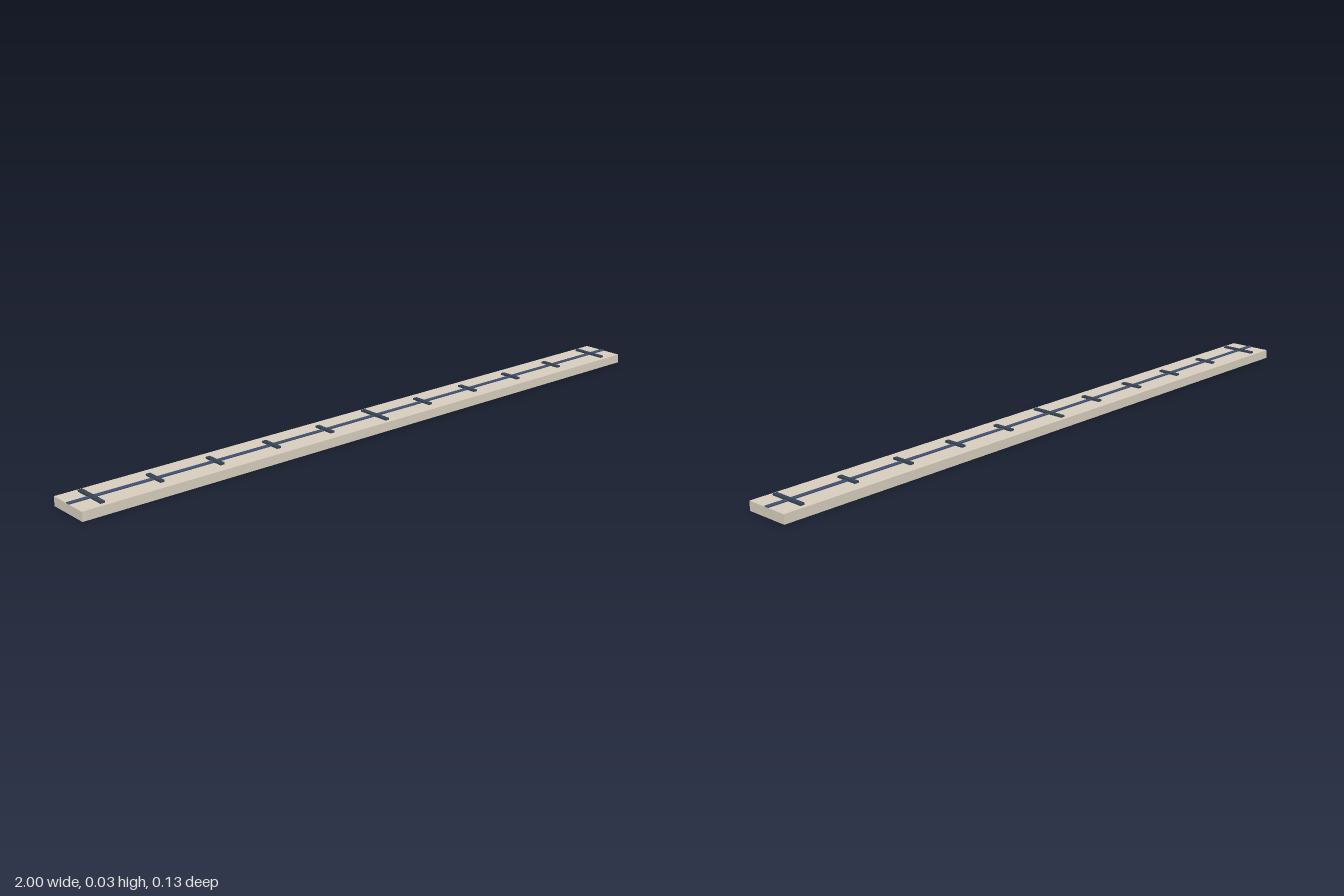
import * as THREE from 'three';

export function createModel() {
  const group = new THREE.Group();
  const stone = new THREE.MeshStandardMaterial({ color: 0xd6cdbd });
  const lineBlue = new THREE.MeshStandardMaterial({ color: 0x3f4f70 });
  const tickBlue = new THREE.MeshStandardMaterial({ color: 0x364254 });

  // Box standing on height y
  function addBox(name, material, w, h, d, x, y) {
    const mesh = new THREE.Mesh(new THREE.BoxGeometry(w, h, d), material);
    mesh.name = name;
    mesh.position.set(x, y + h / 2, 0);
    group.add(mesh);
  }

  const top = 0.0267;
  addBox('board', stone, 2, top, 0.1333, 0, 0);
  addBox('centreLine', lineBlue, 2, 0.0027, 0.0133, 0, top);

  // Cross marks: long ones at the middle and both ends
  for (let i = -5; i <= 5; i++) {
    const long = i % 5 === 0;
    addBox(long ? 'longMark' : 'shortMark', tickBlue,
      0.0133, 0.0053, long ? 0.1067 : 0.0667, i * 0.1867, top);
  }
  return group;
}
